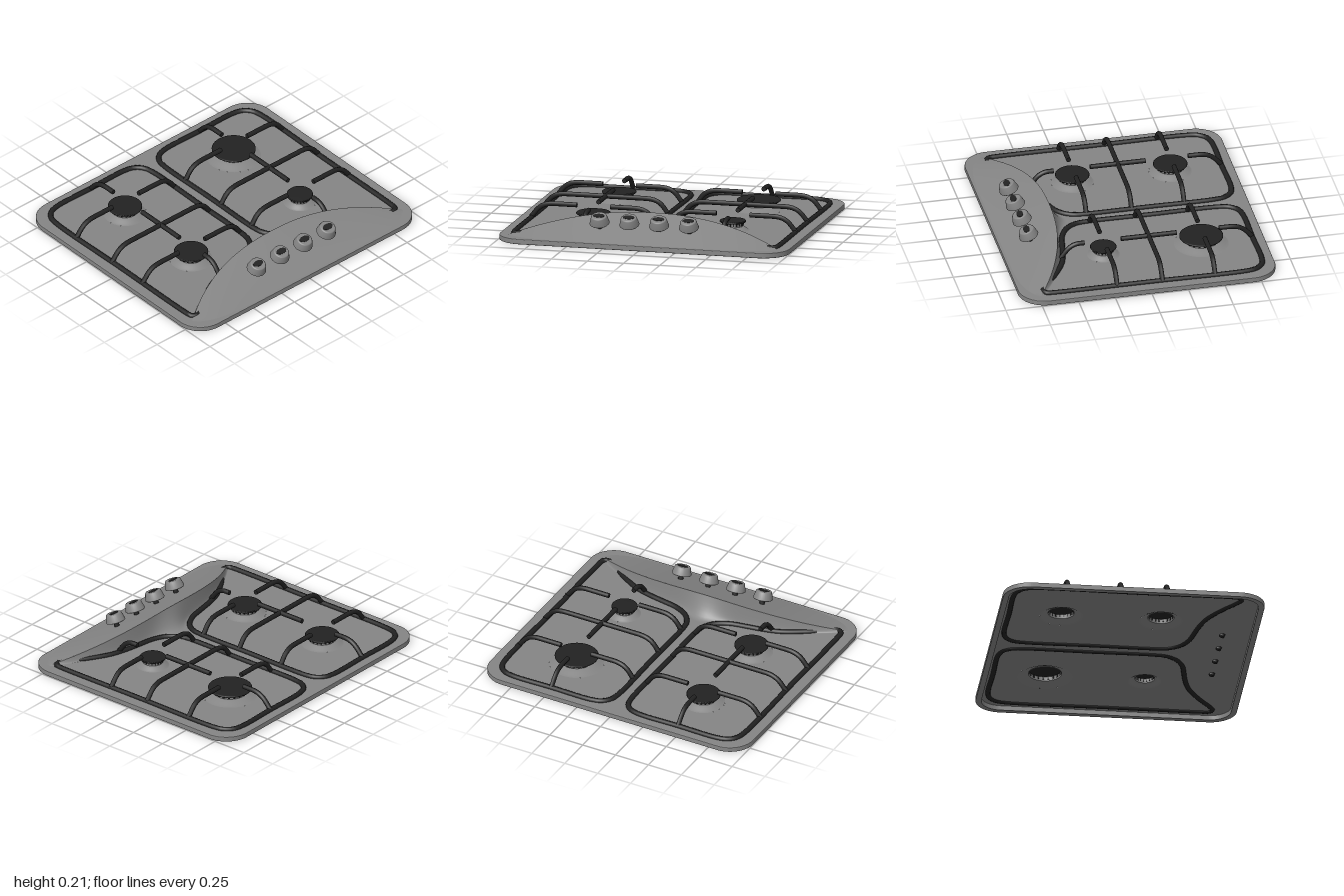
import * as THREE from 'three';
import { ParametricGeometry } from 'three/addons/geometries/ParametricGeometry.js';

const DECK = 0.037;
const steel = new THREE.MeshStandardMaterial({ color: 0x858585, side: THREE.DoubleSide });
steel.name = 'brushed steel';
const iron = new THREE.MeshStandardMaterial({ color: 0x222222, side: THREE.DoubleSide });
iron.name = 'black iron';

function add(parent, geometry, material, name, x = 0, y = 0, z = 0) {
  const mesh = new THREE.Mesh(geometry, material);
  mesh.name = name;
  mesh.position.set(x, y, z);
  parent.add(mesh);
  return mesh;
}

function roundedRect(w, d, r, Type = THREE.Shape) {
  const s = new Type();
  s.absarc(w - r, d - r, r, 0, Math.PI / 2);
  s.absarc(-w + r, d - r, r, Math.PI / 2, Math.PI);
  s.absarc(-w + r, -d + r, r, Math.PI, Math.PI * 1.5);
  s.absarc(w - r, -d + r, r, Math.PI * 1.5, Math.PI * 2);
  s.closePath();
  return s;
}

const burners = [
  { x: -0.485, z: -0.45, r: 0.115 },
  { x: 0.48, z: -0.45, r: 0.147 },
  { x: -0.485, z: 0.22, r: 0.115 },
  { x: 0.48, z: 0.22, r: 0.088 },
];

// Thin sheet with burner holes and a turned-down rim
function addTop(group) {
  const ring = roundedRect(0.99, 0.868, 0.17);
  ring.holes.push(roundedRect(0.97, 0.848, 0.15, THREE.Path));
  const rim = new THREE.ExtrudeGeometry(ring, {
    depth: 0.027, bevelThickness: 0.005, bevelSize: 0.01, bevelSegments: 3, curveSegments: 12,
  });
  rim.rotateX(-Math.PI / 2).translate(0, 0.005, 0);
  add(group, rim, steel, 'rim');

  const sheet = roundedRect(0.97, 0.848, 0.15);
  for (const b of burners) {
    const hole = new THREE.Path();
    hole.absarc(b.x, -b.z, b.r * 1.25, 0, Math.PI * 2);
    sheet.holes.push(hole);
  }
  const deck = new THREE.ShapeGeometry(sheet, 20).rotateX(-Math.PI / 2);
  add(group, deck, steel, 'deck', 0, DECK, 0);
}

// Arched control panel, sloping down to the front edge
function addControlPanel(group) {
  const half = 0.93;
  const height = (k) => DECK + 0.143 * (1 - k * k);
  const crest = (k) => 0.483 + 0.26 * Math.pow(Math.abs(k), 2.5);
  const front = new ParametricGeometry((u, v, p) => {
    const k = u * 2 - 1;
    const z0 = 0.86 - 0.1 * Math.pow(Math.abs(k), 8);
    p.set(k * half, THREE.MathUtils.lerp(DECK, height(k), v) + 0.001,
      THREE.MathUtils.lerp(z0, crest(k), v));
  }, 48, 6);
  add(group, front, steel, 'controlPanel');
  const back = new ParametricGeometry((u, v, p) => {
    const k = u * 2 - 1;
    const x = k * half;
    const depth = 0.02 + 0.1 * Math.exp(-Math.pow(x / 0.13, 2));
    p.set(x, DECK + 0.001 + (height(k) - DECK) * Math.pow(1 - v, 2.2), crest(k) - depth * v);
  }, 64, 8);
  add(group, back, steel, 'controlPanelBack');
}

function addKnob(group, x) {
  const knob = new THREE.Group();
  knob.name = 'knob';
  knob.position.set(x, 0.133, 0.688);
  knob.rotation.x = 0.35;
  const profile = [[0, 0], [0.062, 0], [0.067, 0.005], [0.054, 0.054], [0.05, 0.059], [0.044, 0.06], [0, 0.058]];
  const body = new THREE.LatheGeometry(profile.map(([r, y]) => new THREE.Vector2(r, y)), 28);
  add(knob, body, steel, 'knobBody');
  add(knob, new THREE.CylinderGeometry(0.018, 0.018, 0.12, 12), iron, 'knobStem', 0, -0.06, 0);
  const grip = add(knob, new THREE.CylinderGeometry(0.04, 0.04, 0.003, 24), iron, 'knobRecess', 0, 0.06, -0.002);
  grip.scale.z = 0.55;
  group.add(knob);
}

function addBurner(group, { x, z, r }) {
  const burner = new THREE.Group();
  burner.name = 'burner';
  burner.position.set(x, 0, z);
  const dish = [[1.25, DECK], [1.12, 0.042], [0.98, 0.052], [0.8, 0.06], [0.76, 0.062]];
  add(burner, new THREE.LatheGeometry(dish.map(([k, y]) => new THREE.Vector2(k * r, y)), 36), steel, 'burnerDish');
  add(burner, new THREE.CylinderGeometry(r * 0.76, r * 0.76, 0.03, 32, 1, true), steel, 'burnerRing', 0, 0.074, 0);
  // Flame teeth around the ring
  for (let i = 0; i < 20; i++) {
    const a = (i / 20) * Math.PI * 2;
    const tooth = add(burner, new THREE.BoxGeometry(r * 0.1, 0.02, r * 0.08), iron, 'flameTooth',
      Math.cos(a) * r * 0.78, 0.08, Math.sin(a) * r * 0.78);
    tooth.rotation.y = -a;
  }
  const cap = [[0, 0.089], [r * 0.97, 0.089], [r, 0.092], [r, 0.098], [r * 0.96, 0.102], [0, 0.104]];
  add(burner, new THREE.LatheGeometry(cap.map(([a, y]) => new THREE.Vector2(a, y)), 40), iron, 'burnerCap');
  group.add(burner);
}

function addBar(group, points, name) {
  const path = new THREE.CurvePath();
  const v = points.map((p) => new THREE.Vector3(...p));
  // Straight runs with a rounded bend at each inner point
  let from = v[0];
  for (let i = 1; i < v.length - 1; i++) {
    const a = v[i].clone().lerp(v[i - 1], Math.min(0.45, 0.05 / v[i].distanceTo(v[i - 1])));
    const b = v[i].clone().lerp(v[i + 1], Math.min(0.45, 0.05 / v[i].distanceTo(v[i + 1])));
    path.add(new THREE.LineCurve3(from, a));
    path.add(new THREE.QuadraticBezierCurve3(a, v[i], b));
    from = b;
  }
  path.add(new THREE.LineCurve3(from, v[v.length - 1]));
  add(group, new THREE.TubeGeometry(path, 40, 0.0165, 8), iron, name);
  // Flat ends
  for (const t of [0, 1]) {
    const end = add(group, new THREE.CircleGeometry(0.0165, 8), iron, 'barEnd');
    end.position.copy(path.getPoint(t));
    end.lookAt(end.position.clone().addScaledVector(path.getTangent(t), t ? 1 : -1));
  }
}

// One pan support; side is +1 or -1
function addGrate(group, side) {
  const grate = new THREE.Group();
  grate.name = side > 0 ? 'leftGrate' : 'rightGrate';
  const outline = [
    [0.05, -0.66], [0.065, -0.73], [0.11, -0.78], [0.18, -0.8], [0.48, -0.8], [0.78, -0.8],
    [0.85, -0.78], [0.895, -0.73], [0.91, -0.66], [0.91, 0], [0.91, 0.66], [0.905, 0.7],
    [0.875, 0.72], [0.83, 0.7], [0.7, 0.605], [0.55, 0.52], [0.42, 0.483], [0.32, 0.465],
    [0.2, 0.44], [0.11, 0.39], [0.062, 0.32], [0.05, 0.25], [0.05, -0.2],
  ].map(([x, z]) => new THREE.Vector3(x * side, 0.041, z));
  const curve = new THREE.CatmullRomCurve3(outline, true, 'centripetal');
  add(grate, new THREE.TubeGeometry(curve, 180, 0.018, 8, true), iron, 'grateFrame');

  const top = 0.142;
  const cx = 0.482;
  const outer = [[0.915, 0.045], [0.86, 0.115], [0.8, top]];
  const inner = [[0.16, top], [0.1, 0.115], [0.05, 0.045]];
  const across = (pts, z, name) => addBar(grate, pts.map(([x, y]) => [x * side, y, z]), name);
  across([...outer, ...inner], -0.09, 'middleBar');
  for (const z of [-0.45, 0.22]) {
    across([...outer, [cx + 0.115, top]], z, 'outerFinger');
    across([[cx - 0.115, top], ...inner], z, 'innerFinger');
  }
  const along = (pts, name) => addBar(grate, pts.map(([z, y]) => [cx * side, y, z]), name);
  along([[-0.8, 0.045], [-0.74, 0.115], [-0.68, top], [-0.57, top]], 'backFinger');
  along([[-0.28, top], [0.1, top]], 'centreFinger');
  along([[0.35, top], [0.41, top], [0.46, 0.115], [0.51, 0.045]], 'frontFinger');
  group.add(grate);
}

export function createModel() {
  const group = new THREE.Group();
  group.name = 'gasHob';
  addTop(group);
  addControlPanel(group);
  for (let i = 0; i < 4; i++) addKnob(group, -0.316 + i * 0.206);
  for (const b of burners) addBurner(group, b);
  for (const side of [1, -1]) addGrate(group, side);
  return group;
}
